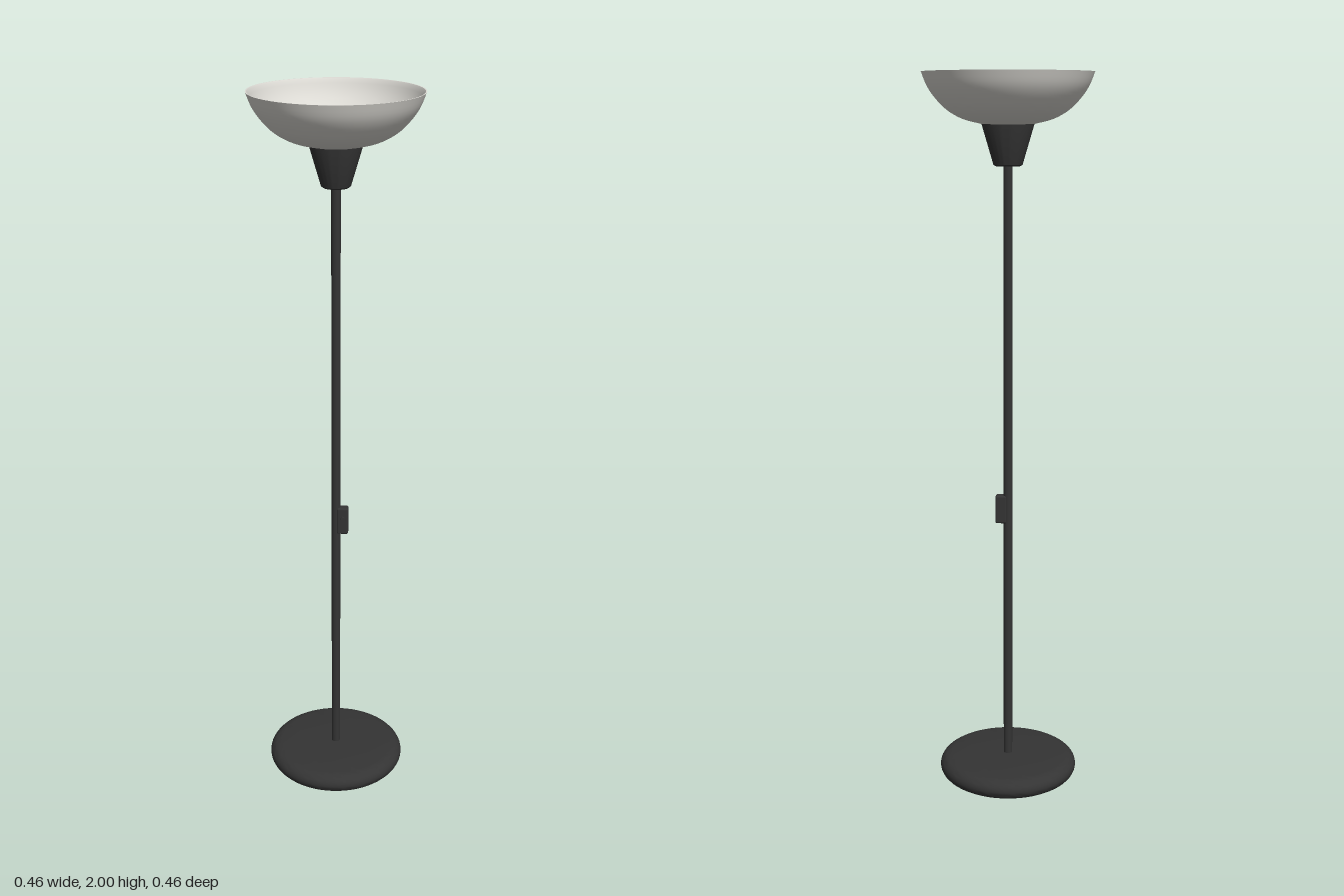
import * as THREE from 'three';
import { toCreasedNormals } from 'three/addons/utils/BufferGeometryUtils.js';
import { RoundedBoxGeometry } from 'three/addons/geometries/RoundedBoxGeometry.js';

const material = (name, color, side = THREE.FrontSide) => {
  const m = new THREE.MeshStandardMaterial({ color, side });
  m.name = name;
  return m;
};

// Revolves a profile of [radius, height] points, keeping sharp edges
const turned = (points, segments = 48) =>
  toCreasedNormals(new THREE.LatheGeometry(points.map(([r, y]) => new THREE.Vector2(r, y)), segments), 0.6);

export function createModel() {
  const lamp = new THREE.Group();
  lamp.name = 'floorLamp';

  const black = material('blackMetal', 0x343434);
  const white = material('frostedShade', 0xdddbd5, THREE.DoubleSide);
  const cream = material('bulbGlass', 0xecd9c2);

  const add = (name, geometry, mat, x = 0, y = 0, z = 0) => {
    const mesh = new THREE.Mesh(geometry, mat);
    mesh.name = name;
    mesh.position.set(x, y, z);
    lamp.add(mesh);
    return mesh;
  };

  // Round base with a soft rolled edge
  const base = [[0, 0.006], [0.155, 0.006]];
  for (let i = 0; i <= 12; i++) {
    const a = -Math.PI / 2 + (Math.PI * i) / 12;
    base.push([0.163 + 0.034 * Math.cos(a), 0.037 + 0.029 * Math.sin(a)]);
  }
  base.push([0.12, 0.069], [0, 0.07]);
  add('base', turned(base, 64), black);

  // Pole running from the floor into the cup
  add('pole', new THREE.CylinderGeometry(0.0125, 0.0125, 1.78, 24), black, 0, 0.89);

  // Switch box on the side of the pole, with its button
  add('switchBox', new RoundedBoxGeometry(0.032, 0.08, 0.027, 3, 0.005), black, 0.019, 0.81);
  const button = add('switchButton', new THREE.CylinderGeometry(0.008, 0.008, 0.008, 20), black, 0.02, 0.81, 0.015);
  button.rotation.x = Math.PI / 2;
  button.scale.z = 2;

  // Flared cup under the shade
  add('cup', turned([
    [0, 1.757], [0.034, 1.757], [0.039, 1.761], [0.041, 1.768],
    [0.07, 1.866], [0.07, 1.872], [0, 1.872],
  ]), black);

  // Open bowl shade: outer wall, rim, inner wall and floor
  const wall = new THREE.SplineCurve([
    [0.07, 1.866], [0.12, 1.879], [0.16, 1.901], [0.19, 1.93], [0.213, 1.963], [0.228, 2],
  ].map(([r, y]) => new THREE.Vector2(r, y))).getPoints(20).map((p) => [p.x, p.y]);
  const inner = wall.slice().reverse().map(([r, y], i) => [r - 0.003, i ? Math.min(y + 0.003, 2) : 2]);
  add('shade', turned([...wall, ...inner, [0, 1.875]], 64), white);

  // Clamp ring inside the bowl
  const ring = add('clampRing', new THREE.TorusGeometry(0.0695, 0.0075, 12, 48), black, 0, 1.882);
  ring.rotation.x = Math.PI / 2;

  // Socket and bulb
  add('socket', turned([
    [0.045, 1.872], [0.045, 1.884], [0.041, 1.889], [0.026, 1.893], [0.022, 1.897], [0, 1.897],
  ]), black);
  add('bulb', new THREE.SphereGeometry(0.025, 28, 20), cream, 0, 1.905);

  return lamp;
}
